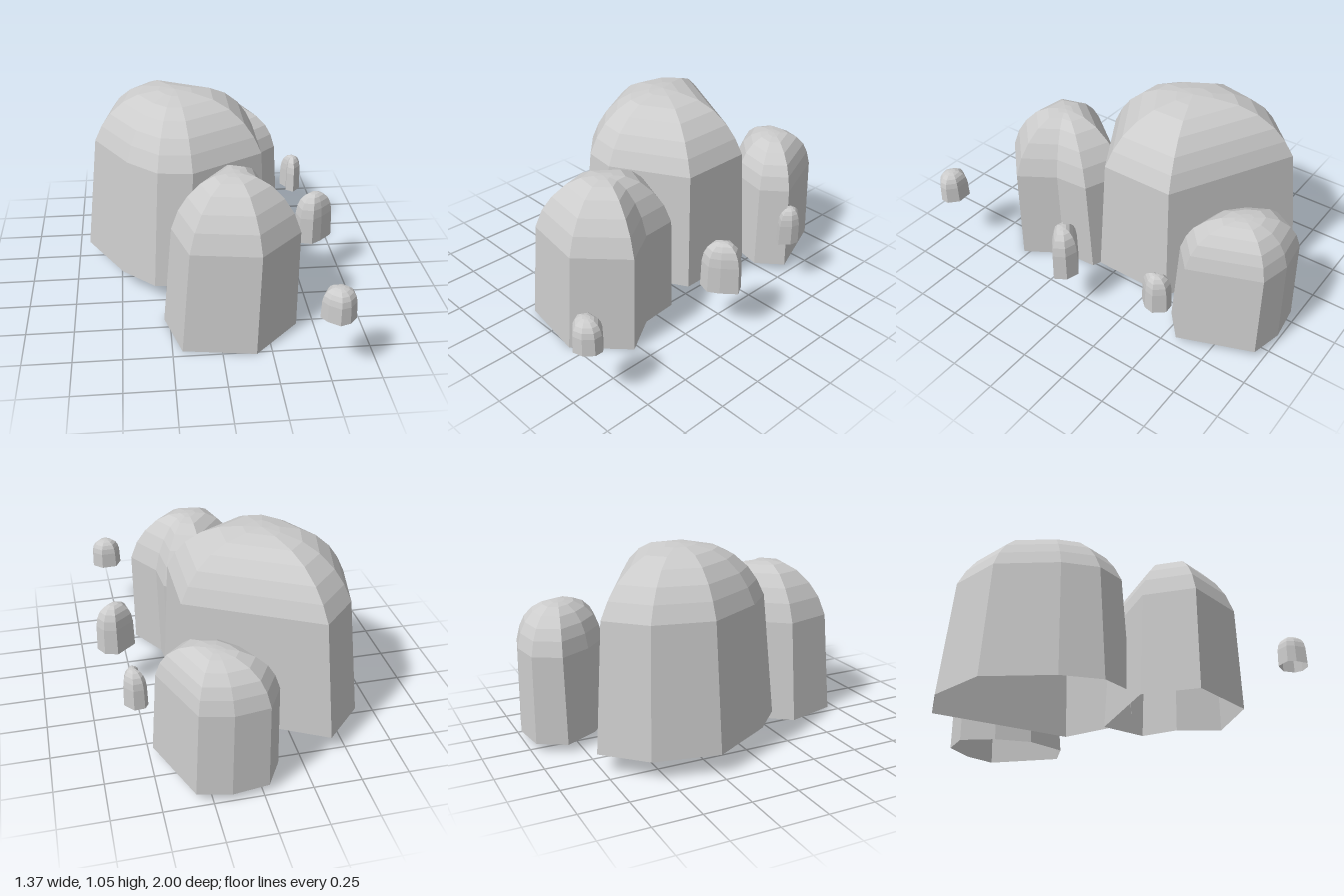
import * as THREE from 'three';

// Domed rock: a base outline [x, z], clockwise from above, lofted through scaled rings [scale, height].
// The centre drifts by `lean` at the shoulder, and the underside stays open.
function domeGeometry(outline, centre, y0, y1, profile, lean = [0, 0]) {
  const rings = profile.map(([s, h]) => {
    const k = Math.min(1, h / profile[1][1]);
    return outline.map(([x, z]) => [
      centre[0] + lean[0] * k + (x - centre[0]) * s,
      y0 + (y1 - y0) * h,
      centre[1] + lean[1] * k + (z - centre[1]) * s,
    ]);
  });
  const n = outline.length;
  const pos = [];
  for (let r = 0; r < rings.length - 1; r++) {
    for (let i = 0; i < n; i++) {
      const j = (i + 1) % n;
      const a = rings[r][i], b = rings[r][j], c = rings[r + 1][j], d = rings[r + 1][i];
      pos.push(...a, ...d, ...b);
      if (r < rings.length - 2) pos.push(...b, ...d, ...c);
    }
  }
  const g = new THREE.BufferGeometry();
  g.setAttribute('position', new THREE.Float32BufferAttribute(pos, 3));
  g.computeVertexNormals();
  return g;
}

export function createModel() {
  const group = new THREE.Group();
  const stone = new THREE.MeshStandardMaterial({ color: 0xcccccc, flatShading: true, side: THREE.DoubleSide });
  stone.name = 'paleGreyStone';

  // Wall, shoulder, then rounded cap
  const broad = [[1, 0], [0.9, 0.69], [0.82, 0.78], [0.72, 0.855], [0.57, 0.925], [0.4, 0.97], [0.18, 0.993], [0, 1]];
  const narrow = [[1, 0], [0.935, 0.65], [0.83, 0.77], [0.69, 0.86], [0.5, 0.94], [0.3, 0.985], [0.13, 0.997], [0, 1]];
  const upright = [[1, 0], [0.94, 0.68], [0.86, 0.79], [0.75, 0.87], [0.57, 0.94], [0.34, 0.985], [0.15, 0.997], [0, 1]];
  const pebble = [[1, 0], [0.96, 0.55], [0.88, 0.73], [0.73, 0.86], [0.5, 0.95], [0.25, 0.99], [0, 1]];

  const rocks = [
    { name: 'largeRock', centre: [-0.19, -0.22], y: [0.1, 1.05], profile: broad, lean: [0.02, 0],
      outline: [[-0.41, -0.78], [0.31, -0.4], [0.31, 0.04], [-0.12, 0.285], [-0.32, 0.26], [-0.49, 0.1], [-0.685, -0.24], [-0.61, -0.58]] },
    { name: 'frontRock', centre: [0.06, 0.43], y: [0, 0.85], profile: narrow, lean: [0.025, 0],
      outline: [[-0.28, 0.43], [0.03, 0.035], [0.27, 0.13], [0.285, 0.33], [0.41, 0.53], [0.17, 0.765], [-0.2, 0.71]] },
    { name: 'backRock', centre: [0.2, -0.75], y: [0.04, 0.73], profile: upright, lean: [-0.01, -0.01],
      outline: [[-0.115, -0.83], [-0.03, -0.975], [0.16, -1], [0.33, -0.96], [0.48, -0.58], [0.35, -0.465], [0.13, -0.515], [-0.02, -0.655]] },
    { name: 'middlePebble', centre: [0.575, 0.065], y: [0.255, 0.53], profile: pebble,
      outline: [[0.575, -0.025], [0.645, -0.005], [0.68, 0.055], [0.61, 0.12], [0.555, 0.155], [0.485, 0.135], [0.47, 0.06]] },
    { name: 'rearPebble', centre: [0.55, -0.495], y: [0.285, 0.49], profile: pebble,
      outline: [[0.485, -0.535], [0.505, -0.565], [0.56, -0.57], [0.605, -0.515], [0.595, -0.465], [0.55, -0.415], [0.51, -0.445], [0.515, -0.485]] },
    { name: 'frontPebble', centre: [0.525, 0.92], y: [0.32, 0.485], profile: pebble,
      outline: [[0.44, 0.92], [0.475, 0.855], [0.56, 0.85], [0.61, 0.895], [0.61, 0.94], [0.57, 0.985], [0.52, 1], [0.465, 0.96]] },
  ];

  for (const { name, outline, centre, y, profile, lean } of rocks) {
    const mesh = new THREE.Mesh(domeGeometry(outline, centre, y[0], y[1], profile, lean), stone);
    mesh.name = name;
    group.add(mesh);
  }
  return group;
}
